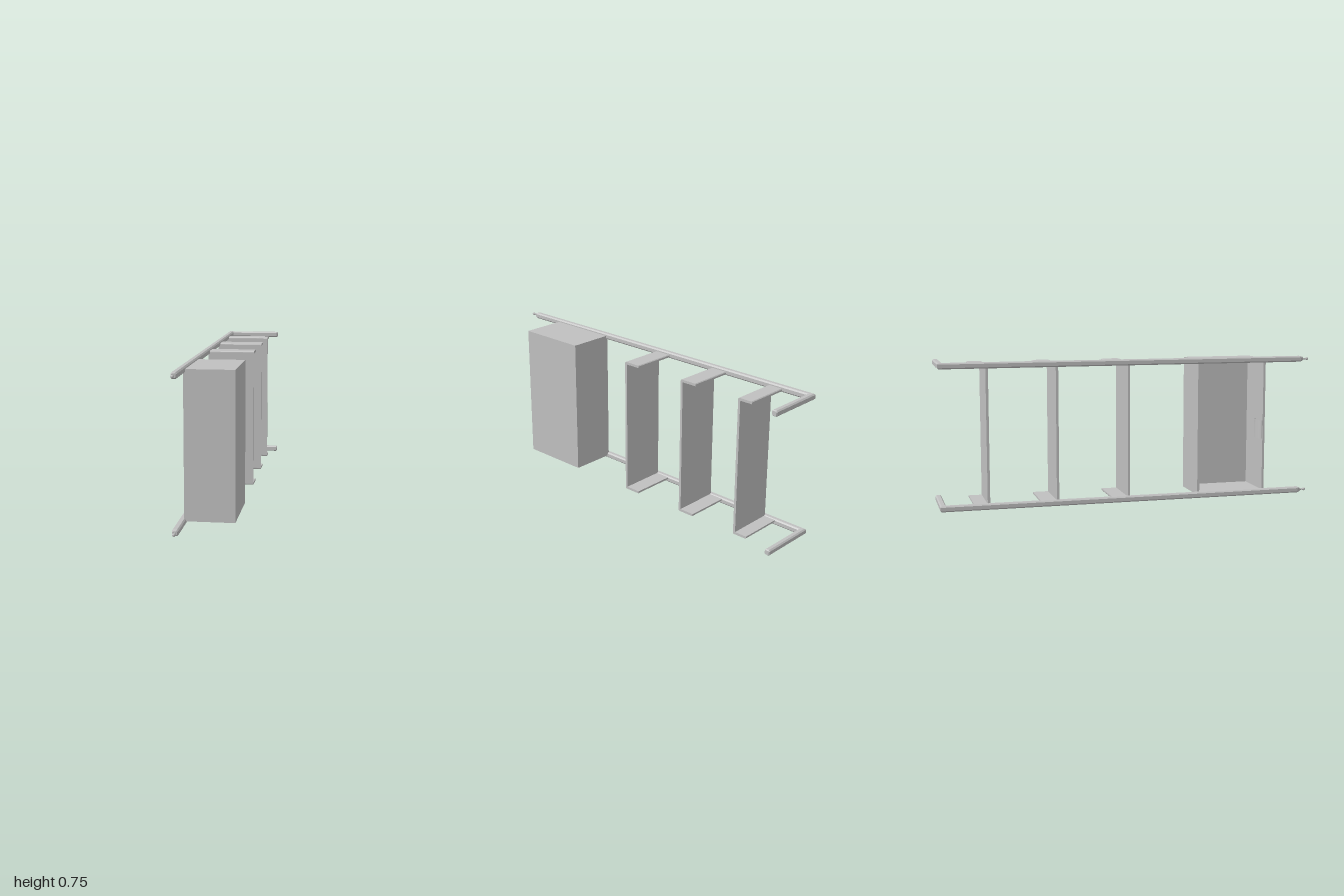
import * as THREE from 'three';

const steel = new THREE.MeshStandardMaterial({ color: 0xc0c0c0 });
steel.name = 'greyMetal';
const steelSheet = new THREE.MeshStandardMaterial({ color: 0xc0c0c0, side: THREE.DoubleSide });
steelSheet.name = 'greyMetalSheet';

const X0 = -0.132, X1 = 0.113; // depth range of shelves and box
const Y0 = 0.014, Y1 = 0.742; // height range of shelves and box

function add(parent, name, geometry, material = steel) {
  const mesh = new THREE.Mesh(geometry, material);
  mesh.name = name;
  parent.add(mesh);
  return mesh;
}

// Extrudes a (z, y) profile along x between two positions
function extrudeAlongX(shape, xa, xb) {
  const geo = new THREE.ExtrudeGeometry(shape, { depth: xb - xa, bevelEnabled: false, curveSegments: 4 });
  return geo.rotateY(-Math.PI / 2).translate(xb, 0, 0);
}

// L-shaped rail with a chamfered square section and a mitred corner
function railGeometry() {
  const h = 0.0155, c = 0.009;
  const section = [[h, -c], [h, c], [c, h], [-c, h], [-h, c], [-h, -c], [-c, -h], [c, -h]];
  // x, z, direction of the section in x and z, scale
  const stations = [
    [0.153, -0.985, 0, 1, 0.75],
    [0.147, -0.985, 0, 1, 1],
    [-0.138, -0.985, 1, 1, 1],
    [-0.138, 0.95, 1, 0, 1],
    [-0.138, 0.965, 1, 0, 0.65],
  ];
  const rings = stations.map(([x, z, dx, dz, s]) =>
    section.map(([u, v]) => new THREE.Vector3(x + u * dx * s, v * s, z + u * dz * s)));
  const pts = [];
  const n = section.length;
  for (let i = 0; i < rings.length - 1; i++) {
    for (let j = 0; j < n; j++) {
      const k = (j + 1) % n, a = rings[i], b = rings[i + 1];
      pts.push(a[j], a[k], b[k], a[j], b[k], b[j]);
    }
  }
  const first = rings[0], last = rings[rings.length - 1];
  for (let j = 1; j < n - 1; j++) {
    pts.push(first[0], first[j + 1], first[j], last[0], last[j], last[j + 1]);
  }
  const geo = new THREE.BufferGeometry().setFromPoints(pts);
  geo.computeVertexNormals();
  return geo;
}

function createRail(name, y) {
  const rail = new THREE.Group();
  rail.name = name;
  rail.position.y = y;
  add(rail, 'railBar', railGeometry());
  // pin with a small faceted knob at the front end
  add(rail, 'pinNeck', new THREE.CylinderGeometry(0.004, 0.005, 0.025, 6)
    .rotateX(Math.PI / 2).translate(-0.138, 0, 0.975));
  add(rail, 'pinKnob', new THREE.SphereGeometry(0.009, 6, 4)
    .rotateX(Math.PI / 2).translate(-0.138, 0, 0.991));
  return rail;
}

// Folded sheet: a flat panel with a lip at each end
function createShelf(name, zFront, zBack) {
  const t = 0.013, r = 0.008;
  const s = new THREE.Shape();
  s.moveTo(zBack, Y0 + r / 2);
  s.lineTo(zBack + r / 2, Y0);
  s.lineTo(zFront - r, Y0);
  s.quadraticCurveTo(zFront, Y0, zFront, Y0 + r);
  s.lineTo(zFront, Y1 - r);
  s.quadraticCurveTo(zFront, Y1, zFront - r, Y1);
  s.lineTo(zBack + r / 2, Y1);
  s.lineTo(zBack, Y1 - r / 2);
  s.lineTo(zBack, Y1 - t);
  s.lineTo(zFront - t, Y1 - t);
  s.lineTo(zFront - t, Y0 + t);
  s.lineTo(zBack, Y0 + t);
  s.closePath();
  const shelf = new THREE.Group();
  shelf.name = name;
  add(shelf, 'foldedPanel', extrudeAlongX(s, X0, X1));
  return shelf;
}

// Box open towards the rails
function createBox() {
  const za = 0.371, zb = 0.755, t = 0.012;
  const rect = (Type, a, b, c, d) => {
    const p = new Type();
    p.moveTo(a, c);
    p.lineTo(b, c);
    p.lineTo(b, d);
    p.lineTo(a, d);
    p.closePath();
    return p;
  };
  const box = new THREE.Group();
  box.name = 'box';
  const frame = rect(THREE.Shape, za, zb, Y0, Y1);
  frame.holes.push(rect(THREE.Path, za + t, zb - t, Y0 + t, Y1 - t));
  add(box, 'boxWalls', extrudeAlongX(frame, X0, X1 - t));
  add(box, 'boxPanel', new THREE.BoxGeometry(t, Y1 - Y0, zb - za)
    .translate(X1 - t / 2, (Y0 + Y1) / 2, (za + zb) / 2));
  // shallow curved catch on the inner wall
  const catchPlate = add(box, 'innerCatch',
    new THREE.CylinderGeometry(0.05, 0.05, 0.1, 10, 1, true, Math.PI / 2, Math.PI), steelSheet);
  catchPlate.scale.z = 0.35;
  catchPlate.position.set(-0.078, 0.355, zb - t);
  return box;
}

export function createModel() {
  const model = new THREE.Group();
  model.name = 'shelfUnit';
  model.add(createRail('lowerRail', 0.0155), createRail('upperRail', 0.7385));
  [[-0.004, -0.1], [-0.386, -0.482], [-0.746, -0.828]].forEach(([front, back], i) =>
    model.add(createShelf('shelf' + (i + 1), front, back)));
  model.add(createBox());
  return model;
}
